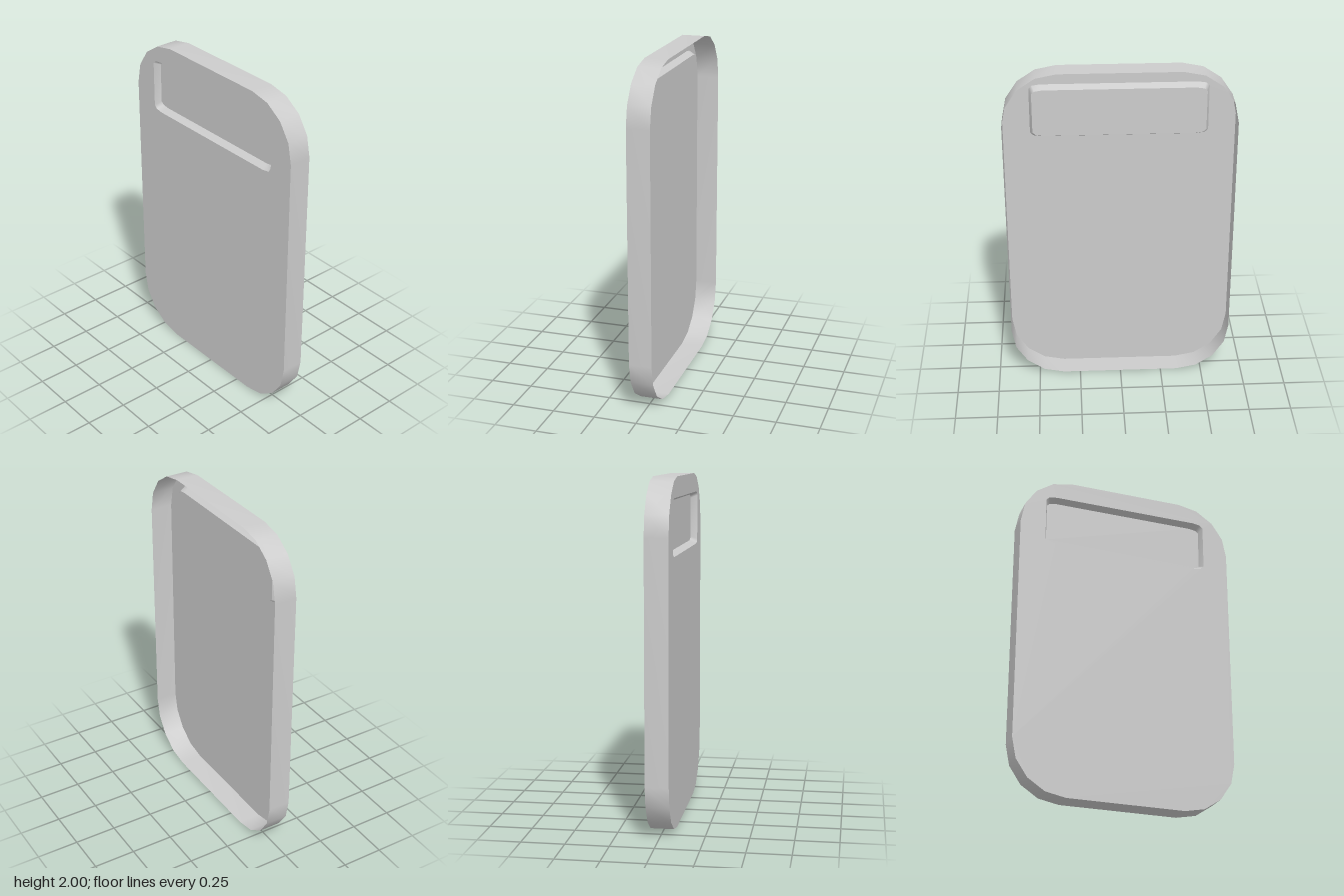
import * as THREE from 'three';

const FRONT = 0.067, BACK = -0.067, FLOOR = 0.027;
const material = new THREE.MeshStandardMaterial({ color: 0xcccccc, side: THREE.DoubleSide });

// Counter-clockwise outline of a box with rounded (or, with one step, chamfered) corners
function outline(halfW, y0, y1, rx, ry, steps) {
  const points = [];
  const corners = [[1, 1], [-1, 1], [-1, -1], [1, -1]];
  corners.forEach(([sx, sy], c) => {
    const cx = sx * (halfW - rx), cy = sy > 0 ? y1 - ry : y0 + ry;
    for (let i = 0; i <= steps; i++) {
      const a = (c + i / steps) * Math.PI / 2;
      points.push(new THREE.Vector2(cx + rx * Math.cos(a), cy + ry * Math.sin(a)));
    }
  });
  return points;
}

// Closed smooth strip joining a back outline to a front outline
function wall(back, zBack, front, zFront) {
  const n = back.length, positions = [], index = [];
  back.forEach(p => positions.push(p.x, p.y, zBack));
  front.forEach(p => positions.push(p.x, p.y, zFront));
  for (let i = 0; i < n; i++) {
    const j = (i + 1) % n;
    index.push(i, j, n + j, i, n + j, n + i);
  }
  const geometry = new THREE.BufferGeometry();
  geometry.setAttribute('position', new THREE.Float32BufferAttribute(positions, 3));
  geometry.setIndex(index);
  geometry.computeVertexNormals();
  return geometry;
}

function flat(points, z, hole) {
  const shape = new THREE.Shape(points);
  if (hole) shape.holes.push(new THREE.Path(hole));
  return new THREE.ShapeGeometry(shape).translate(0, 0, z);
}

export function createModel() {
  const group = new THREE.Group();
  const add = (name, geometry) => {
    const mesh = new THREE.Mesh(geometry, material);
    mesh.name = name;
    group.add(mesh);
  };

  const rim = outline(0.665, 0, 2, 0.315, 0.315, 4);
  const pocketMouth = outline(0.51, 1.565, 1.885, 0.065, 0.025, 2);
  const pocketBase = outline(0.495, 1.585, 1.865, 0.062, 0.022, 2);

  // Thin shell, open at the back
  add('frontPanel', flat(rim, FRONT, pocketMouth));
  add('outerWall', wall(rim, BACK, rim, FRONT));

  // Shallow tapered recess near the top
  add('recessWall', wall(pocketBase, FLOOR, pocketMouth, FRONT));
  add('recessFloor', flat(pocketBase, FLOOR));

  return group;
}
